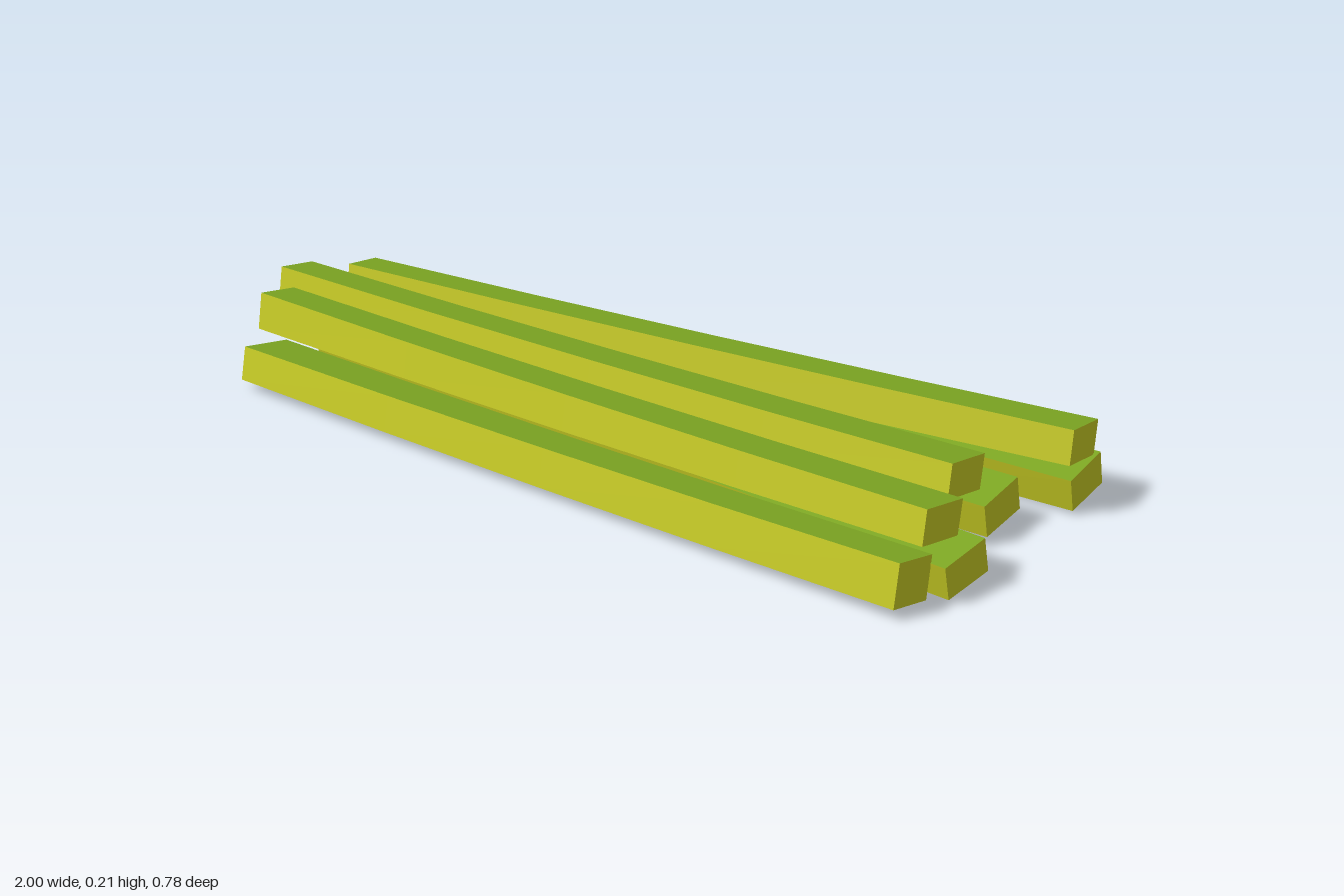
import * as THREE from 'three';

const yellow = new THREE.MeshStandardMaterial({ color: 0xc8cc24 });
yellow.name = 'yellowWood';
const green = new THREE.MeshStandardMaterial({ color: 0x7ea823 });
green.name = 'greenTop';

// A slightly bowed, tapered beam along x. Sections are four [z, y] corners:
// top front, top back, bottom back, bottom front.
function beam(name, x0, x1, left, right, bow) {
  const steps = 4;
  const mid = (s) => s.reduce((a, c) => a + c[0] / 4, 0);
  const yaw = (mid(right) - mid(left)) / (x1 - x0);
  const sections = [];
  for (let k = 0; k <= steps; k++) {
    const t = k / steps;
    const sag = 4 * t * (1 - t);
    const centre = mid(left) + (mid(right) - mid(left)) * t;
    sections.push(left.map(([z, y], i) => {
      const zz = z + (right[i][0] - z) * t;
      const yy = y + (right[i][1] - y) * t;
      const x = x0 + (x1 - x0) * t - yaw * (zz - centre);
      return [x, Math.max(0, yy - 0.004 * sag), zz + bow * sag];
    }));
  }
  const pos = [];
  const quad = (a, b, c, d) => pos.push(...a, ...b, ...c, ...a, ...c, ...d);
  const strip = (i) => {
    const j = (i + 1) % 4;
    for (let k = 0; k < steps; k++) {
      const f = sections[k], n = sections[k + 1];
      quad(f[i], n[i], n[j], f[j]);
    }
  };
  strip(0); // green top
  const topCount = pos.length / 3;
  for (let i = 1; i < 4; i++) strip(i); // sides and underside
  const f = sections[0], n = sections[steps];
  quad(n[0], n[3], n[2], n[1]); // end caps
  quad(f[0], f[1], f[2], f[3]);

  const geo = new THREE.BufferGeometry();
  geo.setAttribute('position', new THREE.Float32BufferAttribute(pos, 3));
  geo.addGroup(0, topCount, 0);
  geo.addGroup(topCount, pos.length / 3 - topCount, 1);
  geo.computeVertexNormals();
  const mesh = new THREE.Mesh(geo, [green, yellow]);
  mesh.name = name;
  return mesh;
}

// Section shapes, relative to the z of the top front corner
const at = (z, shape) => shape.map(([dz, y]) => [z + dz, y]);
const upperWide = [[0, 0.199], [-0.13, 0.177], [-0.116, 0.1], [0.013, 0.122]];
const upperSlim = [[0, 0.213], [-0.106, 0.195], [-0.092, 0.11], [0.014, 0.128]];
const lowerWide = [[0, 0.083], [-0.129, 0.105], [-0.145, 0.027], [-0.016, 0.008]];
const lowerSlim = [[0, 0.09], [-0.107, 0.108], [-0.124, 0.02], [-0.017, 0]];
const frontWide = [[0, 0.1], [-0.13, 0.078], [-0.115, 0], [0.015, 0.022]];
const frontSlim = [[0, 0.121], [-0.11, 0.101], [-0.095, 0.005], [0.016, 0.025]];

export function createModel() {
  const group = new THREE.Group();
  group.name = 'beamStack';
  group.add(
    // upper layer
    beam('upperFrontBeam', -0.915, 0.94, at(0.215, upperSlim), at(0.275, upperWide), 0.005),
    beam('upperMiddleBeam', -1.0, 0.86, at(0.058, upperSlim), at(0.055, upperWide), 0.005),
    beam('upperBackBeam', -0.89, 0.965, at(-0.053, upperSlim), at(-0.246, upperWide), 0.003),
    // lower layer
    beam('lowerFrontBeam', -0.91, 0.945, at(0.28, frontWide), at(0.376, frontSlim), 0.005),
    beam('lowerCrossBeam', -0.87, 0.992, at(0.085, lowerSlim), at(0.275, lowerWide), -0.004),
    beam('lowerMiddleBeam', -0.96, 0.895, at(-0.053, lowerSlim), at(-0.024, lowerWide), -0.005),
    beam('lowerBackBeam', -0.88, 0.97, at(-0.215, lowerSlim), at(-0.245, lowerWide), -0.005),
  );
  return group;
}
